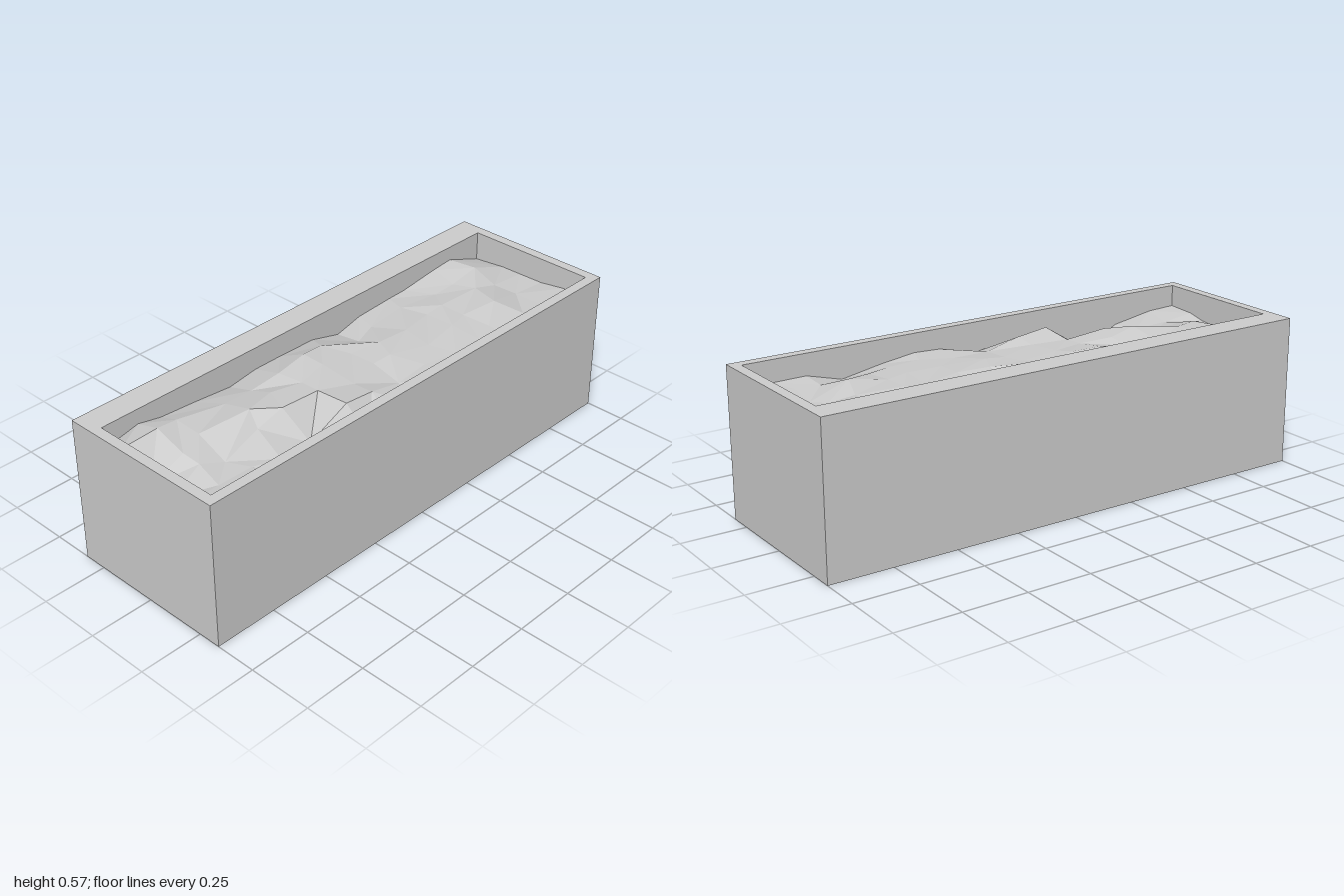
import * as THREE from 'three';

const HEIGHT = 0.574;
const CAVITY = { x0: -0.96, x1: 0.96, z0: -0.235, z1: 0.3 };

// Depth of the filling below the rim: x, z, drop
const DEPTHS = [
  [-0.96, -0.235, 0.08], [-0.9, -0.16, 0.035], [-0.8, -0.08, 0.04], [-0.65, -0.235, 0.09],
  [-0.72, -0.1, 0.035], [-0.5, -0.03, 0.03], [-0.43, 0.01, 0.035], [-0.44, -0.235, 0.11],
  [-0.28, 0.165, 0.04], [-0.08, 0.215, 0.04], [-0.28, -0.06, 0.04], [-0.1, -0.12, 0.04],
  [-0.2, -0.235, 0.085], [0.15, -0.235, 0.12], [0.5, -0.235, 0.09], [0.72, -0.235, 0.06],
  [0.82, -0.16, 0.06], [0.96, -0.2, 0.12], [0.96, 0.3, 0.09], [0.75, 0.3, 0.08],
  [0.62, 0.3, 0.13], [0.6, 0.1, 0.06], [0.22, 0.3, 0.08], [0.2, 0.05, 0.07],
  [0, 0.3, 0.12], [-0.2, 0.3, 0.14], [-0.45, 0.2, 0.14], [-0.54, 0.3, 0.16],
  [-0.65, 0.06, 0.12], [-0.75, 0.3, 0.12], [-0.9, 0.25, 0.08], [-0.94, 0.05, 0.12],
  [0.9, 0.05, 0.1], [0.4, -0.05, 0.07],
];

// Distance-weighted blend of the listed depths
function dropAt(x, z) {
  let sum = 0, total = 0;
  for (const [px, pz, d] of DEPTHS) {
    const w = 1 / (((x - px) ** 2 + (z - pz) ** 2) ** 1.5 + 1e-5);
    sum += w * d;
    total += w;
  }
  return sum / total;
}

function seeded(seed) {
  return () => {
    seed = (seed * 16807) % 2147483647;
    return seed / 2147483647 - 0.5;
  };
}

// Faceted uneven surface, fitted to the cavity walls
function makeFilling() {
  const cols = 14, rows = 5, rand = seeded(4217);
  const positions = [], index = [];
  for (let r = 0; r <= rows; r++) {
    for (let c = 0; c <= cols; c++) {
      const jx = c > 0 && c < cols ? rand() * 0.07 : 0;
      const jz = r > 0 && r < rows ? rand() * 0.055 : 0;
      const x = THREE.MathUtils.lerp(CAVITY.x0, CAVITY.x1, c / cols) + jx;
      const z = THREE.MathUtils.lerp(CAVITY.z0, CAVITY.z1, r / rows) + jz;
      positions.push(x, HEIGHT - dropAt(x, z) + rand() * 0.02, z);
    }
  }
  for (let r = 0; r < rows; r++) {
    for (let c = 0; c < cols; c++) {
      const a = r * (cols + 1) + c, b = a + 1, d = a + cols + 1, e = d + 1;
      if (rand() > 0) index.push(a, d, b, b, d, e);
      else index.push(a, d, e, a, e, b);
    }
  }
  const geo = new THREE.BufferGeometry();
  geo.setAttribute('position', new THREE.Float32BufferAttribute(positions, 3));
  geo.setIndex(index);
  const flat = geo.toNonIndexed();
  flat.computeVertexNormals();
  return flat;
}

function rectangle(path, x0, y0, x1, y1) {
  path.moveTo(x0, y0);
  path.lineTo(x1, y0);
  path.lineTo(x1, y1);
  path.lineTo(x0, y1);
  path.closePath();
  return path;
}

export function createModel() {
  const group = new THREE.Group();
  group.name = 'planter';
  const grey = new THREE.MeshStandardMaterial({ color: 0xcccccc });
  grey.name = 'light grey';

  const add = (name, geometry) => {
    const mesh = new THREE.Mesh(geometry, grey);
    mesh.name = name;
    group.add(mesh);
  };

  // Walls with an off-centre opening: thicker at the back
  const outline = rectangle(new THREE.Shape(), -1, -0.34, 1, 0.34);
  outline.holes.push(rectangle(new THREE.Path(), CAVITY.x0, -CAVITY.z1, CAVITY.x1, -CAVITY.z0));
  const walls = new THREE.ExtrudeGeometry(outline, { depth: HEIGHT, bevelEnabled: false });
  add('walls', walls.rotateX(-Math.PI / 2));

  // Underside closing the opening
  const base = new THREE.PlaneGeometry(CAVITY.x1 - CAVITY.x0, CAVITY.z1 - CAVITY.z0);
  base.rotateX(Math.PI / 2).translate(0, 0, (CAVITY.z0 + CAVITY.z1) / 2);
  add('base', base);

  // Rough soil inside
  add('soil', makeFilling());
  return group;
}
